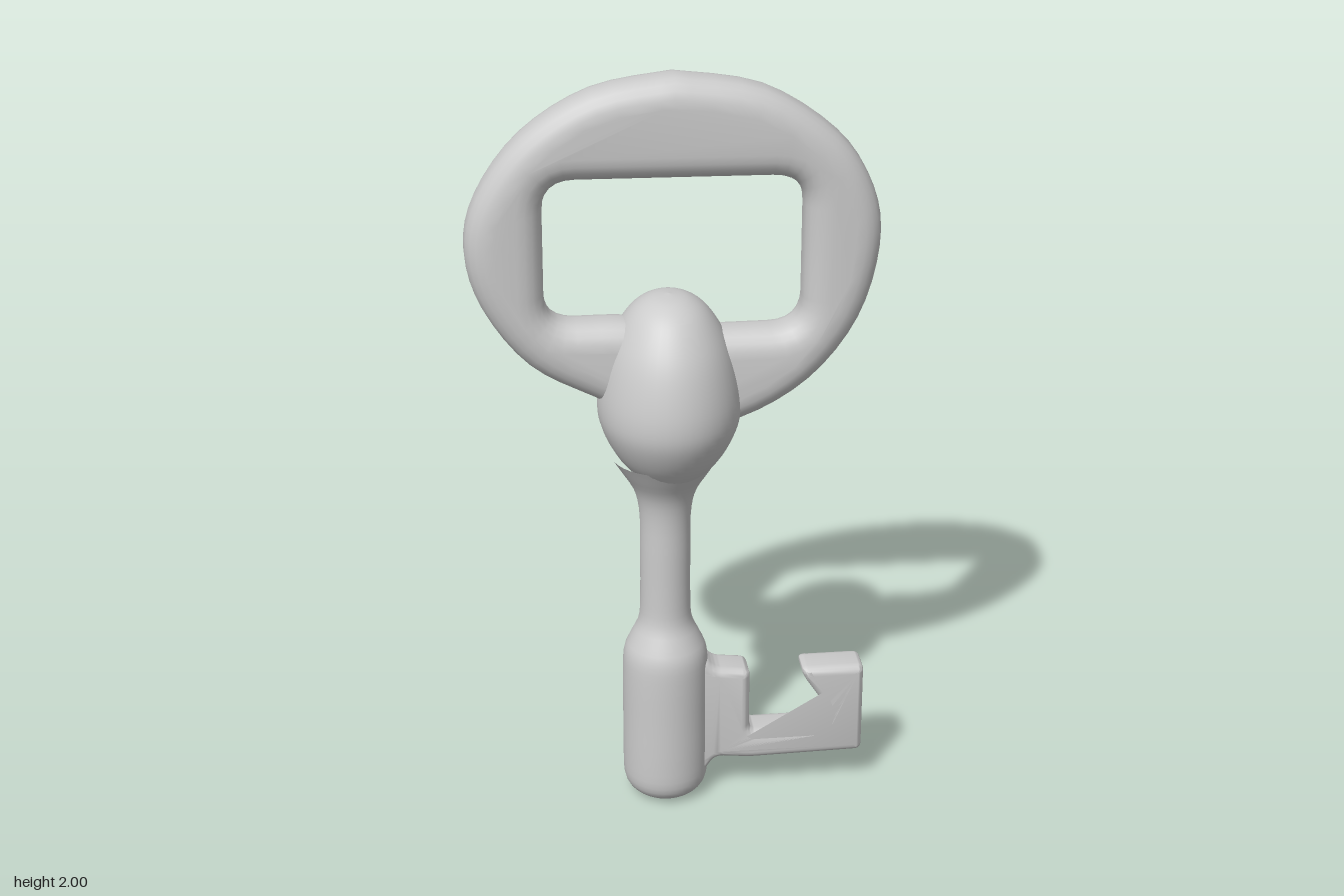
import * as THREE from 'three';
import { toCreasedNormals } from 'three/addons/utils/BufferGeometryUtils.js';

const grey = new THREE.MeshStandardMaterial({ color: 0xcccccc });
const points = (list) => list.map(([x, y]) => new THREE.Vector2(x, y));

function addPart(group, name, geometry) {
  const mesh = new THREE.Mesh(geometry, grey);
  mesh.name = name;
  group.add(mesh);
  return mesh;
}

// Plate with rounded rims, centred on z = 0, whose widest outline is the given shape
function roundedPlate(shape, halfDepth, bevelSize, bevelThickness, crease) {
  const depth = 2 * (halfDepth - bevelThickness);
  const geometry = new THREE.ExtrudeGeometry(shape, {
    depth, bevelEnabled: true, bevelSize, bevelThickness,
    bevelOffset: -bevelSize, bevelSegments: 5, curveSegments: 6,
  });
  geometry.translate(0, 0, -depth / 2);
  return toCreasedNormals(geometry, crease);
}

// Closed outline with every corner rounded by up to r
function roundedOutline(path, corners, r) {
  const p = points(corners);
  p.forEach((c, i) => {
    const prev = p[(i + p.length - 1) % p.length];
    const next = p[(i + 1) % p.length];
    const toward = (q) => c.clone().lerp(q, Math.min(0.45, r / c.distanceTo(q)));
    const a = toward(prev), b = toward(next);
    if (i === 0) path.moveTo(a.x, a.y);
    else path.lineTo(a.x, a.y);
    path.quadraticCurveTo(c.x, c.y, b.x, b.y);
  });
  path.closePath();
  return path;
}

// Smooth surface of revolution through a few [radius, height] points
function turned(profile) {
  const curve = new THREE.SplineCurve(points(profile));
  const pts = curve.getPoints(48).map((v) => new THREE.Vector2(Math.max(0, v.x), v.y));
  return new THREE.LatheGeometry(pts, 40);
}

export function createModel() {
  const key = new THREE.Group();
  key.name = 'key';

  // Rounded bow with a rectangular finger hole
  const rim = new THREE.SplineCurve(points([
    [0, 2], [-0.2, 1.965], [-0.37, 1.86], [-0.48, 1.71], [-0.51, 1.57], [-0.47, 1.42],
    [-0.36, 1.27], [-0.2, 1.175], [0, 1.08], [0.17, 1.1], [0.34, 1.2], [0.46, 1.36],
    [0.51, 1.55], [0.49, 1.7], [0.4, 1.84], [0.22, 1.96], [0, 2],
  ]));
  const bow = new THREE.Shape(rim.getPoints(64).slice(0, -1));
  bow.holes.push(roundedOutline(new THREE.Path(),
    [[-0.32, 1.75], [0.32, 1.74], [0.32, 1.34], [0, 1.34], [-0.1, 1.375], [-0.32, 1.375]], 0.08));
  addPart(key, 'bow', roundedPlate(bow, 0.07, 0.065, 0.055, 0.8));

  // Egg-shaped knob where the bow meets the shaft
  const knob = addPart(key, 'knob', turned([
    [0, 0.92], [0.08, 0.94], [0.15, 1.0], [0.198, 1.08], [0.21, 1.15], [0.195, 1.24],
    [0.165, 1.32], [0.115, 1.39], [0.06, 1.425], [0, 1.435],
  ]));
  knob.scale.x = 0.86;
  knob.position.x = -0.01;

  // Slim shaft flaring into the knob, thickening to a round-ended barrel
  const shaft = addPart(key, 'shaft', turned([
    [0, 0], [0.05, 0.003], [0.085, 0.015], [0.108, 0.05], [0.112, 0.12], [0.112, 0.24],
    [0.112, 0.36], [0.108, 0.43], [0.09, 0.475], [0.069, 0.525], [0.065, 0.6],
    [0.065, 0.72], [0.066, 0.83], [0.08, 0.9], [0.115, 0.96], [0.14, 1.0],
  ]));
  shaft.position.x = -0.02;

  // Bit with a short tooth and a hooked outer tooth
  const bit = roundedOutline(new THREE.Shape(), [
    [0.0, 0.05], [0.07, 0.05], [0.11, 0.11], [0.2, 0.1], [0.503, 0.105], [0.503, 0.366],
    [0.335, 0.366], [0.345, 0.335], [0.4, 0.25], [0.4, 0.185], [0.2, 0.185], [0.2, 0.37],
    [0.11, 0.38], [0.08, 0.41], [0.0, 0.41],
  ], 0.02);
  addPart(key, 'bit', roundedPlate(bit, 0.052, 0.022, 0.025, 0.9));

  return key;
}
